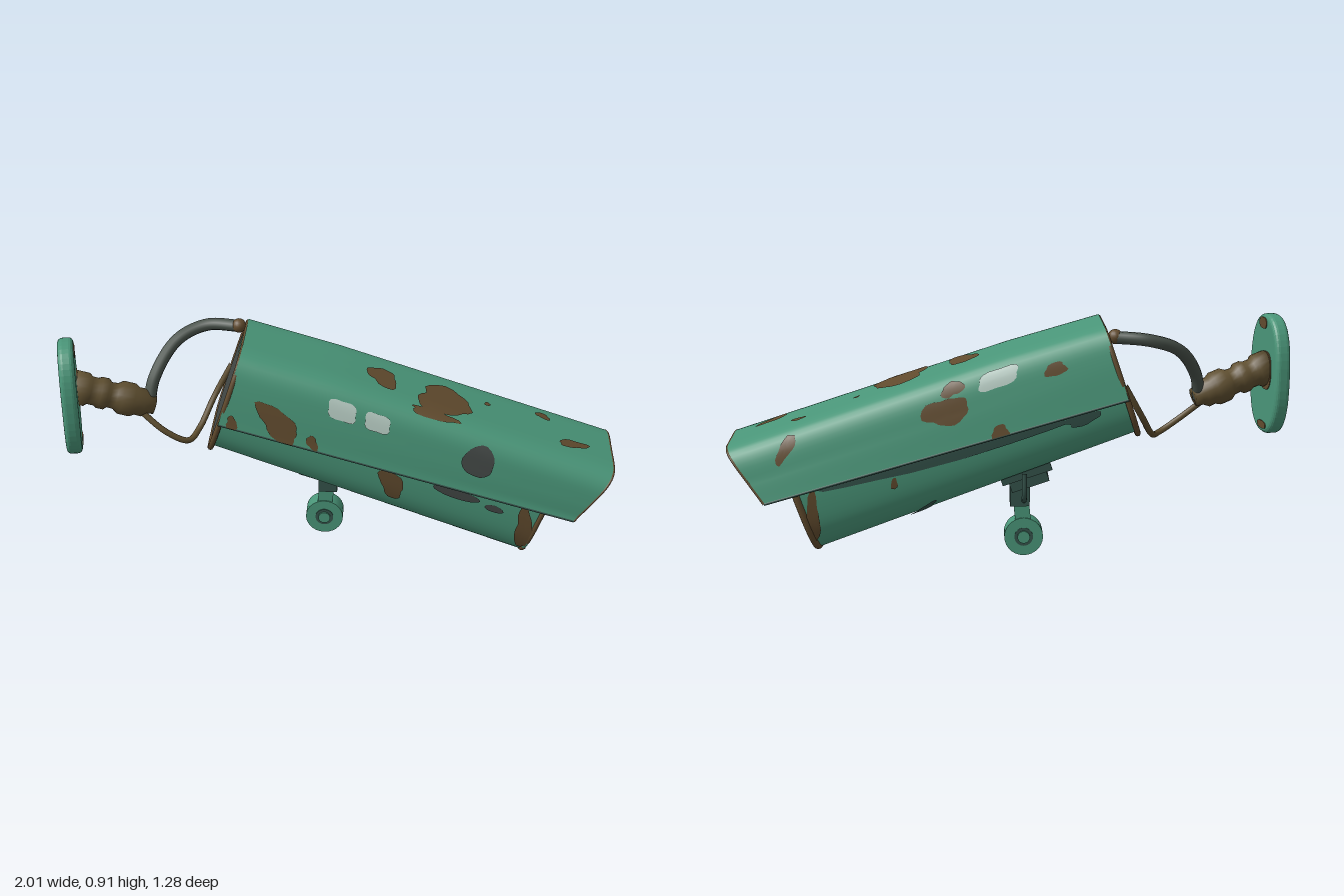
import * as THREE from 'three';

const mat = (name, color) => Object.assign(new THREE.MeshStandardMaterial({ color }), { name });
const V = (x, y, z) => new THREE.Vector3(x, y, z);
const { lerp, clamp } = THREE.MathUtils;

export function createModel() {
  const green = mat('green paint', 0x4a9679), rust = mat('rust', 0x614b2e), brass = mat('old brown metal', 0x5f4f30);
  const grey = mat('dark grey', 0x424745), chip = mat('pale chip', 0xb6cbc2), black = mat('lens black', 0x363938);
  const cableGrey = mat('cable grey', 0x475049), darkGreen = mat('dark green', 0x34524a);
  const model = new THREE.Group();
  const add = (parent, name, geo, material, x = 0, y = 0, z = 0) => {
    const m = new THREE.Mesh(geo, material);
    m.name = name;
    m.position.set(x, y, z);
    parent.add(m);
    return m;
  };
  const profile = pts => new THREE.CatmullRomCurve3(pts.map(([x, y]) => V(x, y, 0)), false, 'centripetal');

  // Half profiles, from top centre round to the left side
  const hoodCurve = profile([[0, .29], [.13, .286], [.17, .268], [.195, .23], [.215, .15], [.237, 0]]);
  const bodyCurve = profile([[0, .25], [.14, .245], [.18, .2], [.205, .1], [.208, 0], [.19, -.12], [.15, -.185], [.08, -.2], [0, -.2]]);
  const at = (curve, s) => {
    const p = curve.getPointAt(Math.min(1, Math.abs(s)));
    return p.setX(p.x * Math.sign(s));
  };
  // Surfaces: s runs right (-1) to left (1), t runs back (0) to front (1)
  const hood = (s, t) => {
    const p = at(hoodCurve, s);
    // the right shoulder widens towards the front and the roof dips at the back
    if (s < 0) p.x -= .032 * t * clamp((p.y - .03) / .2, 0, 1) * clamp(-p.x / .13, 0, 1);
    if (p.y < .15) p.y = .15 - (.15 - p.y) * (1 - .4 * t);
    else p.y -= .1 * (p.y - .15) * (1 - clamp(t * 4, 0, 1));
    p.z = lerp(-.785, .71 - .34 * (.29 - p.y), t);
    return p;
  };
  const body = (s, t) => {
    const p = at(bodyCurve, s);
    if (p.y < 0) p.y *= lerp(.78, 1, t);
    p.z = lerp(-.78, .514, t);
    return p;
  };
  const offset = (fn, d) => (s, t) => {
    const e = .01, s0 = Math.max(-1, s - e), s1 = Math.min(1, s + e);
    const across = fn(s1, t).sub(fn(s0, t)), along = fn(s, t + e).sub(fn(s, t - e));
    return fn(s, t).addScaledVector(along.cross(across).normalize(), d);
  };
  const mesh = (pos, index) => {
    const g = new THREE.BufferGeometry();
    g.setAttribute('position', new THREE.Float32BufferAttribute(pos, 3));
    g.setIndex(index);
    g.computeVertexNormals();
    return g;
  };
  const loft = (fn, ns, nt, flip) => {
    const pos = [], index = [];
    for (let j = 0; j <= nt; j++) for (let i = 0; i <= ns; i++) pos.push(...fn(-1 + 2 * i / ns, j / nt).toArray());
    for (let j = 0; j < nt; j++) for (let i = 0; i < ns; i++) {
      const a = j * (ns + 1) + i, b = a + 1, c = a + ns + 1, d = c + 1;
      index.push(...(flip ? [a, b, c, b, d, c] : [a, c, b, b, c, d]));
    }
    return mesh(pos, index);
  };
  const tube = (pts, r, closed = false, n = 64) =>
    new THREE.TubeGeometry(new THREE.CatmullRomCurve3(pts, closed, 'centripetal'), n, r, 10, closed);
  const sweep = (fn, n) => Array.from({ length: n }, (_, i) => fn(i / (n - 1)));

  // Camera, turned and pitched as one group
  const cam = new THREE.Group();
  cam.name = 'camera';
  cam.position.set(.26, .4, .08);
  cam.rotation.set(THREE.MathUtils.degToRad(18.5), Math.PI / 3, 0, 'YXZ');
  model.add(cam);

  add(cam, 'hood', loft(hood, 48, 20), green);
  add(cam, 'hoodLining', loft(offset(hood, -.009), 48, 20, true), grey);
  add(cam, 'hoodFrontEdge', tube(sweep(u => offset(hood, -.005)(u * 2 - 1, 1), 33), .006), rust);
  for (const s of [-1, 1])
    add(cam, 'hoodLowerEdge', tube(sweep(u => offset(hood, -.005)(s, u), 9), .006), darkGreen);
  add(cam, 'housing', loft(body, 64, 12), green);

  // End caps and worn rims
  const loop = (t, k) => Array.from({ length: 48 }, (_, i) => body(-1 + i / 24, t)).map(p =>
    V(p.x * k, .03 + (p.y - .03) * k, p.z));
  const cap = (t, k) => new THREE.ShapeGeometry(new THREE.Shape(loop(t, k).map(p => new THREE.Vector2(p.x, p.y))));
  add(cam, 'frontPlate', cap(1, 1), green, 0, 0, .512);
  add(cam, 'frontRim', tube(loop(1, .97), .011, true, 96), green);
  for (const [a, b, r] of [[31, 47, .015], [1, 7, .0125], [7, 16, .0115]])
    add(cam, 'frontRimRust', tube(loop(1, .975).slice(a, b), r), rust);
  add(cam, 'backPlate', cap(0, 1.06), green, 0, 0, -.782).rotation.y = Math.PI;
  add(cam, 'backPanel', cap(0, .86), grey, 0, 0, -.788).rotation.y = Math.PI;
  add(cam, 'backRim', tube(loop(0, 1.05), .011, true, 96), rust);

  // Lens
  const lens = new THREE.Group();
  lens.name = 'lens';
  lens.position.set(0, .05, .514);
  cam.add(lens);
  add(lens, 'lensRing', new THREE.TorusGeometry(.154, .012, 10, 48), cableGrey);
  add(lens, 'lensDisc', new THREE.CircleGeometry(.152, 48), grey, 0, 0, .005);
  add(lens, 'lensGlass', new THREE.SphereGeometry(.125, 36, 12, 0, Math.PI * 2, 0, Math.PI / 2).scale(1, .15, 1).rotateX(Math.PI / 2), black, 0, 0, .006);

  // Worn paint: irregular thin patches laid over a surface; d is the distance from the top centre line
  const patch = (name, fn, curve, z0, z1, material, d, z, rd, rz, seed, tilt = 0,
    shear = Math.abs(d) > .18 && rz < .2 ? .335 * Math.sign(d) : 0) => {
    const f = offset(fn, .005), L = curve.getLength(), n = 24, rings = 4;
    const outline = material === chip ? a => -.12 * Math.cos(4 * a)
      : a => (material === grey ? .3 : 1) * (.16 * Math.sin(2 * a + seed) + .13 * Math.sin(3 * a + seed * 2.3) + .05 * Math.sin(7 * a + seed));
    const place = (x, y) => f(clamp((d + x + tilt * y) / L, -1, 1), clamp((z + y + shear * x - z0) / (z1 - z0), 0, 1));
    const pos = [...place(0, 0).toArray()], index = [];
    for (let k = 1; k <= rings; k++) for (let i = 0; i < n; i++) {
      const a = i / n * Math.PI * 2, r = k / rings * (1 + outline(a));
      pos.push(...place(rd * r * Math.cos(a), rz * r * Math.sin(a)).toArray());
      const c = 1 + (k - 1) * n + i, e = 1 + (k - 1) * n + (i + 1) % n;
      if (k === 1) index.push(0, e, c);
      else index.push(c - n, e - n, c, e - n, e, c);
    }
    add(cam, name, mesh(pos, index), material);
  };
  const hoodPatches = [
    [rust, -.048, .005, .085, .115, 1], [rust, -.022, -.243, .06, .062, 2.6], [rust, .069, .409, .02, .03, 3],
    [rust, -.063, .526, .025, .055, 4, .3], [rust, .025, .18, .012, .014, 1], [rust, .21, -.177, .03, .04, 5],
    [chip, -.248, -.357, .041, .06, 0], [chip, -.25, -.215, .038, .054, 0], [grey, -.278, .208, .07, .064, .3],
    [rust, -.38, -.565, .06, .1, 2.2, -.25], [rust, -.435, -.735, .028, .025, 1], [rust, -.42, -.41, .03, .024, 3],
    [rust, -.15, -.03, .018, .11, 1.5],
    [chip, .225, -.35, .036, .082, 0, 0, .6], [rust, .285, -.118, .055, .085, 3.6], [rust, .26, -.56, .022, .05, 2],
    [rust, .225, .49, .046, .032, 0, 0, .9], [rust, .44, -.27, .03, .04, 2],
  ];
  for (const [m, ...p] of hoodPatches) patch('hoodPatch', hood, hoodCurve, -.785, .69, m, ...p);
  const bodyPatches = [
    [rust, -.45, -.08, .06, .055, 2], [rust, -.47, .475, .09, .04, 1], [grey, -.4, .17, .02, .1, 2],
    [grey, -.415, .33, .015, .04, 1], [rust, .47, .485, .09, .03, 2],
    [darkGreen, .385, -.12, .035, .64, 1, -.045], [darkGreen, .43, -.6, .03, .07, 3],
    [rust, .438, .148, .02, .015, 2], [darkGreen, .6, .08, .015, .06, 1, .3],
  ];
  for (const [m, ...p] of bodyPatches) patch('housingPatch', body, bodyCurve, -.78, .514, m, ...p);

  // Bracket under the housing
  add(cam, 'bracketClamp', new THREE.BoxGeometry(.14, .08, .15), darkGreen, .045, -.195, -.33);
  for (const s of [-1, 1])
    add(cam, 'clampFlange', new THREE.BoxGeometry(.02, .04, .2), darkGreen, .045 + s * .07, -.175, -.33);
  const bracket = new THREE.Group();
  bracket.name = 'bracket';
  bracket.position.set(-.025, .075, -.15);
  bracket.rotation.y = Math.PI / 3;
  model.add(bracket);
  const axle = (name, r, len, m) => add(bracket, name, new THREE.CylinderGeometry(r, r, len, 28).rotateZ(Math.PI / 2), m);
  axle('pivotDisc', .075, .07, green);
  axle('pivotRecess', .036, .076, darkGreen);
  axle('pivotBolt', .024, .09, green);
  add(bracket, 'bracketNeck', new THREE.BoxGeometry(.06, .1, .06), green, 0, .09, .005).rotation.x = .1;
  add(bracket, 'bracketCollar', new THREE.BoxGeometry(.085, .08, .075), darkGreen, 0, .165, .015);
  add(bracket, 'bracketStay', tube([V(.05, .15, 0), V(.085, .18, 0), V(.09, .27, 0)], .01, false, 12), darkGreen);

  // Wall plate
  const plate = new THREE.Group();
  plate.name = 'wallPlate';
  plate.position.set(-.933, .677, -.503);
  plate.rotation.y = Math.atan2(.95, .32);
  model.add(plate);
  const oval = (w, h) => new THREE.Shape(Array.from({ length: 48 }, (_, i) => {
    const a = i / 24 * Math.PI, c = Math.cos(a), s = Math.sin(a);
    return new THREE.Vector2(w * Math.sign(c) * Math.abs(c) ** .8, h * Math.sign(s) * Math.abs(s) ** .8);
  }));
  add(plate, 'plateDisc', new THREE.ExtrudeGeometry(oval(.12, .215), { depth: .025, bevelThickness: .018, bevelSize: .02, bevelSegments: 4 }), green, 0, 0, -.018);
  for (const [x, y, w, h] of [[-.01, .2, .035, .022], [.01, -.2, .04, .015], [.03, .02, .055, .075]])
    add(plate, 'plateRust', new THREE.ExtrudeGeometry(oval(w, h), { depth: .004, bevelEnabled: false }), rust, x, y, .024);

  // Swivel arm, turned along the line from the plate to the cables
  const from = V(-.92, .71, -.515), dir = V(-.63, .6, -.42).sub(from), len = dir.length();
  const rings = [[0, 0], [.066, 0], [.066, .16], [.055, .2], [.055, .28], [.062, .32], [.062, .4], [.05, .44], [.052, .52],
    [.066, .58], [.066, .72], [.055, .78], [.056, .86], [.04, .92], [.036, 1], [0, 1]];
  const arm = add(model, 'swivelArm', new THREE.LatheGeometry(rings.map(([r, y]) => new THREE.Vector2(r, y * len)), 20), brass, ...from.toArray());
  arm.quaternion.setFromUnitVectors(V(0, 1, 0), dir.normalize());

  // Cables
  add(model, 'thickCable', tube([V(-.65, .6, -.425), V(-.61, .7, -.455), V(-.49, .815, -.5), V(-.37, .86, -.485), V(-.26, .87, -.395)], .024), cableGrey);
  add(model, 'cablePlug', new THREE.SphereGeometry(.028, 16, 12), rust, -.268, .872, -.4);
  add(model, 'thinCable', tube([V(-.69, .59, -.42), V(-.61, .505, -.355), V(-.53, .457, -.335), V(-.46, .47, -.385), V(-.37, .56, -.44), V(-.29, .69, -.435)], .012), brass);
  return model;
}
